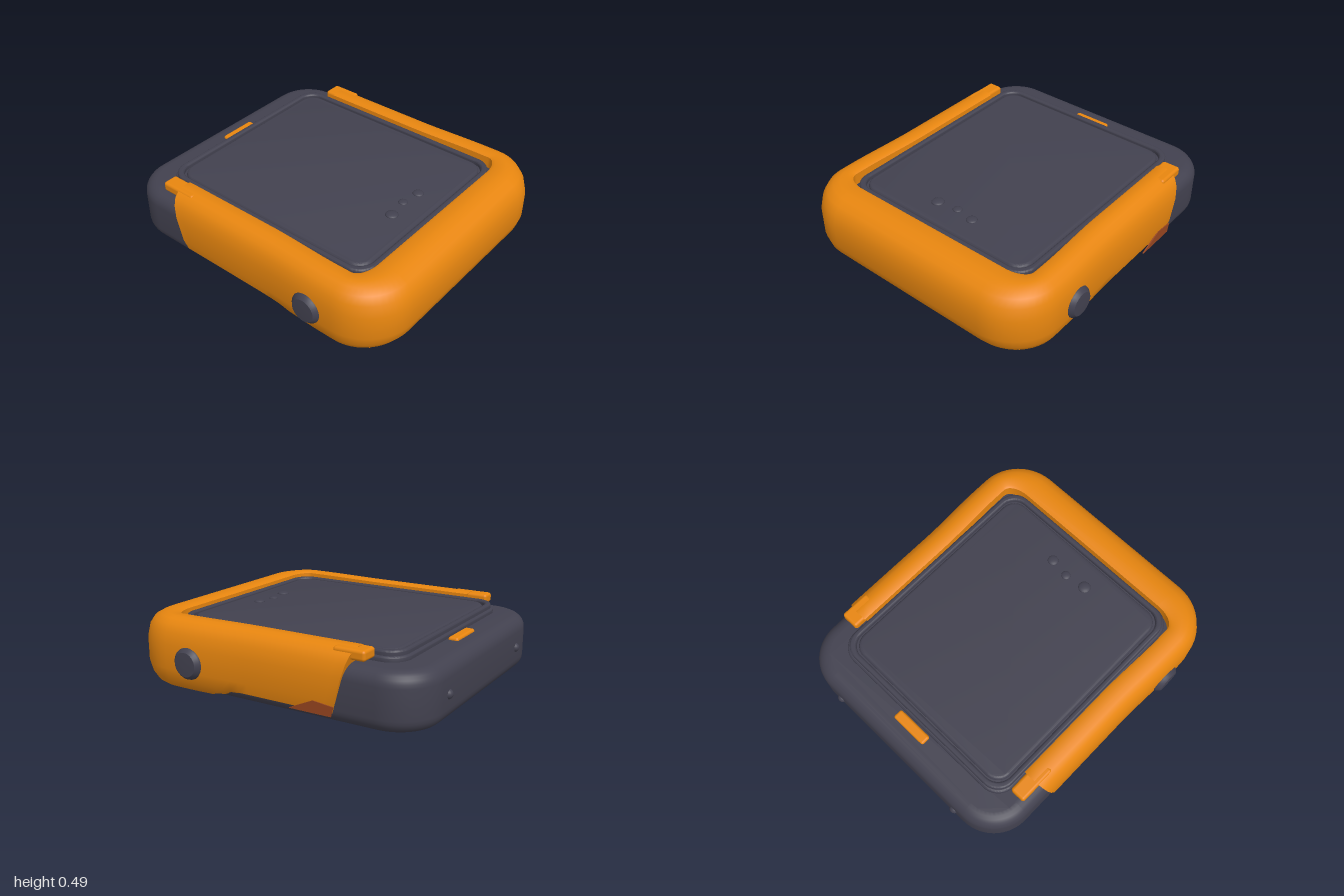
import * as THREE from 'three';
import { toCreasedNormals } from 'three/addons/utils/BufferGeometryUtils.js';
import { RoundedBoxGeometry } from 'three/addons/geometries/RoundedBoxGeometry.js';

const mat = (name, color) => Object.assign(new THREE.MeshStandardMaterial({ color }), { name });

// Rounded rectangle in plan, centred on z = 0
function plan(x0, x1, hz, r, Type = THREE.Shape) {
  const s = new Type();
  s.absarc(x1 - r, hz - r, r, 0, Math.PI / 2);
  s.absarc(x0 + r, hz - r, r, Math.PI / 2, Math.PI);
  s.absarc(x0 + r, -hz + r, r, Math.PI, Math.PI * 1.5);
  s.absarc(x1 - r, -hz + r, r, Math.PI * 1.5, Math.PI * 2);
  s.closePath();
  return s;
}

// Upright slab from y0 to y1 with rounded edges
function slab(shape, y0, y1, b) {
  const g = new THREE.ExtrudeGeometry(shape, {
    depth: y1 - y0 - 2 * b, bevelEnabled: b > 0, bevelSize: b, bevelThickness: b,
    bevelOffset: -b, bevelSegments: 6, curveSegments: 12,
  });
  g.rotateX(-Math.PI / 2).translate(0, y0 + b, 0);
  return toCreasedNormals(g, 0.6);
}

// U-shaped shell: a rounded profile swept along rail, corner, end, corner, rail
function shellGeometry() {
  const profile = [ // inset, height
    [0.18, 0.4], [0.18, 0.475], [0.165, 0.485], [0.11, 0.485], [0.075, 0.475], [0.04, 0.45],
    [0.015, 0.405], [0, 0.33], [0, 0.18], [0.015, 0.115], [0.04, 0.07], [0.075, 0.045],
    [0.11, 0.035], [0.2, 0.035],
  ];
  const R = 0.32, cx = 0.68, rail = 20, arc = 12;
  const path = [];
  for (let i = 0; i < rail; i++) path.push({ t: i / rail, a: Math.PI / 2, side: 1 });
  for (let i = 0; i <= arc; i++) path.push({ t: 1, a: (Math.PI / 2) * (1 - i / arc), side: 1 });
  const back = path.slice().reverse().map((p) => ({ ...p, a: -p.a, side: -1 }));
  const rows = [...path, ...back];
  const pos = [], idx = [], n = profile.length;
  for (const { t, a, side } of rows) {
    for (const [d, y] of profile) {
      const start = -0.47 - (y - 0.1) * 0.28;
      const c = Math.cos(a), s = Math.sin(a);
      const x = THREE.MathUtils.lerp(start, cx, t) + (R - d * 1.35) * c;
      const half = 0.865 + 0.017 * THREE.MathUtils.smoothstep(x, 0.1, 0.6);
      const z = side * (half - R) + (R - d) * s;
      const floor = 0.1 - 0.065 * THREE.MathUtils.smoothstep(x, 0.15, 0.48);
      pos.push(x, Math.max(y, floor), z);
    }
  }
  for (let i = 0; i < rows.length - 1; i++) {
    for (let j = 0; j < n - 1; j++) {
      const p = i * n + j, q = p + n;
      idx.push(p, p + 1, q, p + 1, q + 1, q);
    }
  }
  // Close the two rail ends
  const last = (rows.length - 1) * n;
  for (let j = 1; j < n - 1; j++) idx.push(0, j + 1, j, last, last + j, last + j + 1);
  const g = new THREE.BufferGeometry();
  g.setAttribute('position', new THREE.Float32BufferAttribute(pos, 3));
  g.setIndex(idx);
  return toCreasedNormals(g, 0.75);
}

export function createModel() {
  const dark = mat('charcoal', 0x42414f);
  const orange = mat('orange', 0xe8860f);
  orange.side = THREE.DoubleSide;
  const rust = mat('rust', 0x96451f);
  const brown = mat('dark brown', 0x5a3830);

  const model = new THREE.Group();
  model.name = 'device';
  const add = (name, geo, material, x = 0, y = 0, z = 0) => {
    const m = new THREE.Mesh(geo, material);
    m.name = name;
    m.position.set(x, y, z);
    model.add(m);
    return m;
  };

  // Main case and the shell that wraps it
  add('case', slab(plan(-1, 0.93, 0.848, 0.27), 0.052, 0.4, 0.085), dark);
  add('shell', shellGeometry(), orange);

  // Screen: base step, raised rim and inner glass
  add('screenBase', slab(plan(-0.8, 0.76, 0.69, 0.13), 0.38, 0.43, 0.015), dark);
  const rim = plan(-0.785, 0.745, 0.675, 0.12);
  rim.holes.push(plan(-0.75, 0.71, 0.64, 0.1, THREE.Path));
  add('screenRim', slab(rim, 0.4, 0.46, 0.012), dark);
  add('screen', slab(plan(-0.74, 0.70, 0.63, 0.1), 0.4, 0.453, 0.02), dark);

  // Small raised marks on the screen
  for (const [x, z, r] of [[0.54, -0.13, 0.035], [0.52, 0, 0.03], [0.54, 0.14, 0.04]]) {
    add('screenBump', new THREE.SphereGeometry(r, 16, 8), dark, x, 0.453, z).scale.y = 0.35;
  }

  // Tabs where the rails overhang the case
  add('frontTab', new RoundedBoxGeometry(0.25, 0.062, 0.1, 3, 0.018), orange, -0.58, 0.452, 0.745);
  add('backTab', new RoundedBoxGeometry(0.2, 0.062, 0.12, 3, 0.018), orange, -0.55, 0.452, -0.75);

  // Latch on the exposed end of the case
  add('latch', new RoundedBoxGeometry(0.065, 0.04, 0.25, 3, 0.015), orange, -0.84, 0.397, 0);

  for (const side of [1, -1]) {
    // Round side button with a chamfered face
    const profile = [[0, 0.07], [0.075, 0.066], [0.095, 0.045], [0.1, 0.03], [0.1, -0.03]];
    const button = new THREE.LatheGeometry(
      profile.map(([x, y]) => new THREE.Vector2(x, y)).reverse(), 32);
    add('sideButton', toCreasedNormals(button, 0.6), dark, 0.51, 0.237, side * 0.843)
      .rotation.x = side * Math.PI / 2;

    // Stud on the exposed end
    add('endStud', new THREE.SphereGeometry(0.03, 16, 12), dark, -0.99, 0.22, side * 0.5);

    // Feet
    for (const x of [-0.69, 0.66]) {
      add('foot', new THREE.CylinderGeometry(0.085, 0.08, 0.07, 28), dark, x, 0.035, side * 0.59);
    }
  }

  // Underside panels
  const under = (name, x0, x1, y, hz, material) =>
    add(name, new THREE.BoxGeometry(x1 - x0, 0.03, hz * 2), material, (x0 + x1) / 2, y + 0.015, 0);
  under('shellUnderside', 0.62, 0.85, 0.036, 0.74, orange);
  under('rustUnderside', 0.4, 0.62, 0.042, 0.74, rust);
  under('brownUnderside', 0.1, 0.4, 0.047, 0.74, brown);

  // Rust patch at the lower end of the back rail
  const patch = new THREE.Shape();
  patch.moveTo(-0.475, 0.102).lineTo(-0.2, 0.102).lineTo(-0.36, 0.175).lineTo(-0.49, 0.16);
  add('rustPatch', new THREE.ExtrudeGeometry(patch, { depth: 0.008, bevelEnabled: false }),
    rust, 0, 0, -0.868);

  return model;
}
